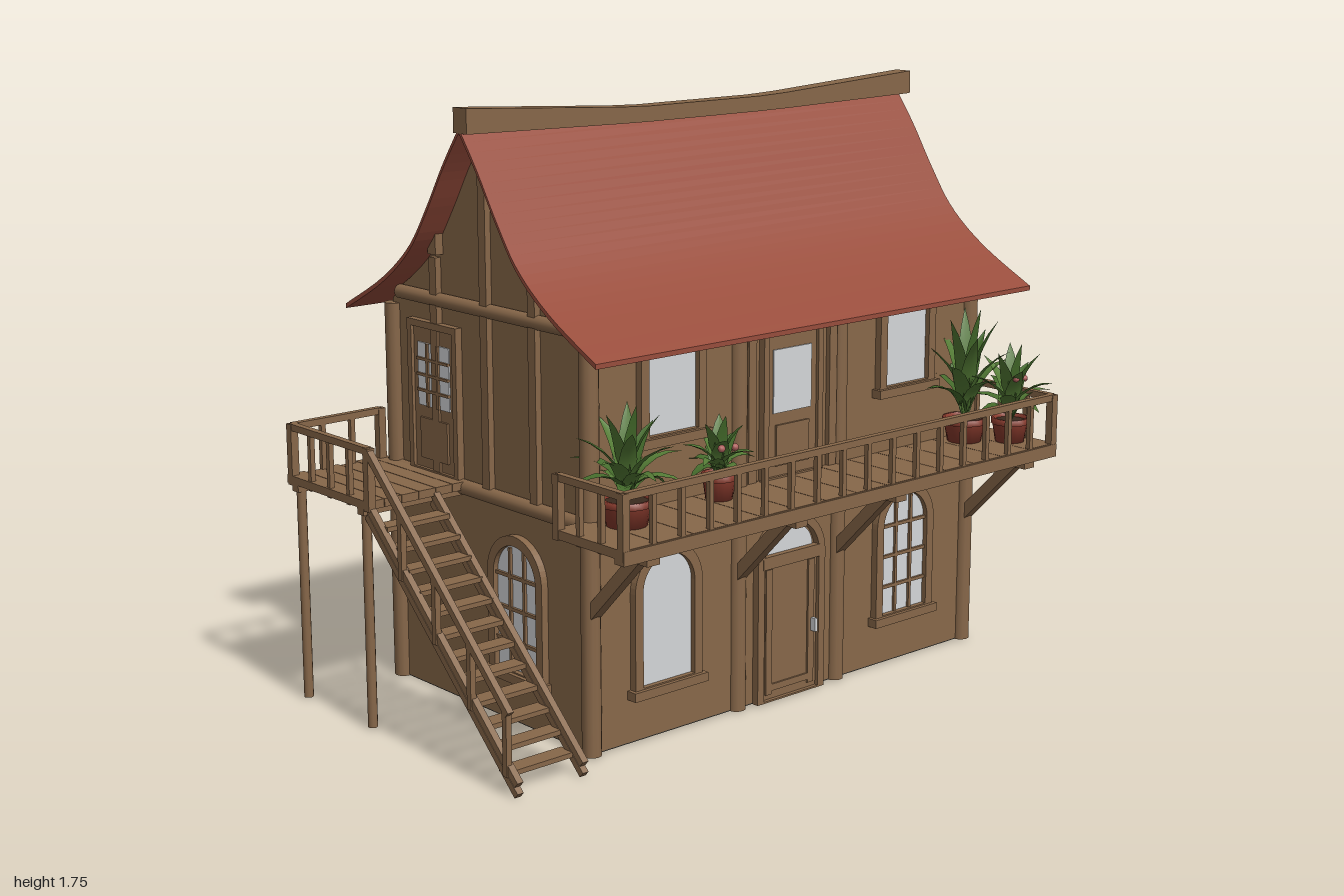
import * as THREE from 'three';

const mat = (name, color, side = THREE.FrontSide) => {
  const m = new THREE.MeshStandardMaterial({ color, side });
  m.name = name;
  return m;
};

export function createModel() {
  const M = {
    wall: mat('plaster brown', 0x886849), timber: mat('timber brown', 0x876749),
    roof: mat('roof red', 0x984d3c, THREE.DoubleSide), glass: mat('glass grey', 0xd4d6d9),
    floor: mat('floor dark grey', 0x423e38), pot: mat('terracotta', 0x8c3c2e), soil: mat('soil', 0x3a2a1e),
    leaf: mat('leaf green', 0x557d36, THREE.DoubleSide),
    leafDark: mat('dark leaf green', 0x446b2b, THREE.DoubleSide), flower: mat('flower pink', 0xb0605c),
  };
  const root = new THREE.Group();
  root.name = 'balconyHouse';
  const V = (x, y, z) => new THREE.Vector3(x, y, z);
  const group = (name, parent = root) => {
    const g = new THREE.Group();
    g.name = name;
    parent.add(g);
    return g;
  };
  const add = (parent, name, geo, material, x = 0, y = 0, z = 0) => {
    const m = new THREE.Mesh(geo, material);
    m.name = name;
    m.position.set(x, y, z);
    parent.add(m);
    return m;
  };
  // Box given by its minimum and maximum corners
  const box = (p, name, a, b, material = M.timber) => add(p, name,
    new THREE.BoxGeometry(b[0] - a[0], b[1] - a[1], b[2] - a[2]), material,
    (a[0] + b[0]) / 2, (a[1] + b[1]) / 2, (a[2] + b[2]) / 2);
  // Square or round bar between two points
  const bar = (p, name, a, b, t, round = false) => {
    const A = V(...a), B = V(...b), len = A.distanceTo(B);
    const geo = round ? new THREE.CylinderGeometry(t / 2, t / 2, len, 12) : new THREE.BoxGeometry(t, t, len);
    if (round) geo.rotateX(Math.PI / 2);
    const m = add(p, name, geo, M.timber);
    m.position.copy(A).lerp(B, 0.5);
    m.lookAt(B);
    return m;
  };
  // Extrude a z-y outline along x
  const alongX = (shape, x0, x1) => new THREE.ExtrudeGeometry(shape, { depth: x1 - x0, bevelEnabled: false })
    .rotateY(-Math.PI / 2).translate(x1, 0, 0);

  // Roof curve: distance from the ridge, height
  const RIDGE = -0.083;
  const slope = new THREE.SplineCurve([[0, 1.69], [0.08, 1.58], [0.16, 1.455], [0.25, 1.335], [0.385, 1.23], [0.572, 1.13]]
    .map(p => new THREE.Vector2(...p))).getPoints(24);
  const mirrored = (pts, drop) => [
    ...pts.map(p => new THREE.Vector2(RIDGE + p.x, p.y - drop)).reverse(),
    ...pts.slice(1).map(p => new THREE.Vector2(RIDGE - p.x, p.y - drop))];

  // Walls with gables, on a dark floor slab
  const inner = slope.filter(p => p.x < 0.43);
  const wallShape = new THREE.Shape([new THREE.Vector2(-0.545, 0.004), new THREE.Vector2(0.355, 0.004),
    new THREE.Vector2(0.355, 1.17), ...mirrored(inner, 0.016), new THREE.Vector2(-0.545, 1.15)]);
  add(root, 'walls', alongX(wallShape, -0.65, 0.855), M.wall);
  box(root, 'floor', [-0.648, 0, -0.543], [0.853, 0.008, 0.353], M.floor);

  // Roof and its ridge beam with upturned ends
  const roof = group('roof');
  add(roof, 'roofSlopes', alongX(new THREE.Shape([...mirrored(slope, 0), ...mirrored(slope, 0.014).reverse()]), -0.74, 0.975), M.roof);
  const ridge = new THREE.BoxGeometry(1.74, 0.045, 0.06, 16, 1, 1);
  const rp = ridge.attributes.position;
  for (let i = 0; i < rp.count; i++) {
    const lift = Math.max(0, Math.abs(rp.getX(i) / 0.87) - 0.3) / 0.7;
    rp.setY(i, rp.getY(i) + lift * (rp.getY(i) > 0 ? 0.037 : 0.012));
  }
  ridge.computeVertexNormals();
  add(roof, 'ridgeBeam', ridge, M.timber, 0.13, 1.6855, -0.077);
  for (const x of [-0.66, 0.86]) box(roof, 'roofPeg', [x - 0.016, 1.31, -0.33], [x + 0.016, 1.385, -0.292]);

  // Timber frame
  const frame = group('timberFrame');
  const columns = [-0.65, -0.11, 0.29, 0.855];
  for (const x of columns) {
    bar(frame, 'frontPost', [x, 0, 0.35], [x, 1.15, 0.35], 0.056, true);
    bar(frame, 'backPost', [x, 0, -0.54], [x, 1.14, -0.54], 0.056, true);
    bar(frame, 'balconyBrace', [x, 0.41, 0.36], [x, 0.625, 0.57], 0.035);
    box(frame, 'balconyJoist', [x - 0.022, 0.6, 0.36], [x + 0.022, 0.638, 0.61]);
  }
  for (const x of [-0.07, 0.25]) box(frame, 'frontStud', [x - 0.015, 0.67, 0.35], [x + 0.015, 1.15, 0.37]);
  bar(frame, 'backBelt', [-0.67, 0.65, -0.55], [0.88, 0.65, -0.55], 0.05, true);
  bar(frame, 'frontPlate', [-0.67, 1.15, 0.345], [0.88, 1.15, 0.345], 0.04, true);
  for (const x of [-0.655, 0.86]) {
    bar(frame, 'sideBelt', [x, 0.65, -0.57], [x, 0.65, 0.37], 0.045, true);
    bar(frame, 'gableBeam', [x, 1.178, -0.5], [x, 1.178, 0.335], 0.042, true);
    for (const [z, top] of [[-0.32, 1.3], [-0.085, 1.64], [0.13, 1.34]])
      box(frame, 'gableStud', [x - 0.014, 0.67, z - 0.016], [x + 0.014, top, z + 0.016]);
  }

  // Outline of an arched or square opening, standing on y = 0
  const outline = (w, h, arched, Kind = THREE.Shape, y0 = 0) => {
    const s = new Kind(), r = w / 2;
    s.moveTo(-r, y0);
    s.lineTo(r, y0);
    if (arched) { s.lineTo(r, h - r); s.absarc(0, h - r, r, 0, Math.PI, false); } else { s.lineTo(r, h); s.lineTo(-r, h); }
    s.lineTo(-r, y0);
    return s;
  };
  const surround = (w, h, t, arched, y0) => {
    const s = outline(w + 2 * t, h + t, arched);
    s.holes.push(outline(w, h, arched, THREE.Path, y0));
    return new THREE.ExtrudeGeometry(s, { depth: 0.022, bevelEnabled: false, curveSegments: 12 });
  };
  const place = (name, x, y, z, turn) => {
    const g = group(name);
    g.position.set(x, y, z);
    g.rotation.y = turn;
    return g;
  };
  const windowAt = (x, y, z, turn, { w = 0.19, h = 0.38, arched = true, panes = true } = {}) => {
    const g = place('window', x, y, z, turn);
    add(g, 'glass', new THREE.ExtrudeGeometry(outline(w, h, arched), { depth: 0.006, bevelEnabled: false }), M.glass);
    add(g, 'windowFrame', surround(w, h, 0.029, arched, 0.01), M.timber);
    box(g, 'sill', [-w / 2 - 0.04, -0.02, 0], [w / 2 + 0.04, 0.006, 0.034]);
    if (!panes) return;
    for (const s of [-1, 1]) box(g, 'mullion', [s * w / 6 - 0.005, 0, 0], [s * w / 6 + 0.005, h - 0.012, 0.014]);
    for (let i = 1; i < 4; i++) box(g, 'glazingBar', [-w / 2, i * 0.095 - 0.005, 0], [w / 2, i * 0.095 + 0.005, 0.014]);
  };
  windowAt(-0.39, 0.15, 0.355, 0, { panes: false });
  windowAt(0.565, 0.15, 0.355, 0);
  for (const x of [-0.37, 0.56]) windowAt(x, 0.86, 0.355, 0, { w: 0.18, h: 0.27, arched: false, panes: false });
  for (const x of [-0.41, 0.55]) windowAt(x, 0.15, -0.545, Math.PI);
  windowAt(0.855, 0.15, 0.04, Math.PI / 2);
  windowAt(-0.65, 0.15, 0.04, -Math.PI / 2);

  // Arched entrance door with fanlight
  const door = place('entranceDoor', 0.085, 0, 0.355, 0);
  add(door, 'doorFrame', surround(0.22, 0.53, 0.025, true, 0.005), M.timber);
  box(door, 'doorLeaf', [-0.11, 0, 0], [0.11, 0.41, 0.01]);
  box(door, 'transom', [-0.115, 0.405, 0], [0.115, 0.442, 0.024]);
  add(door, 'fanlight', new THREE.CircleGeometry(0.097, 20, 0, Math.PI).scale(1, 0.8, 1), M.glass, 0, 0.442, 0.005);
  for (const s of [-1, 1]) box(door, 'doorStile', [s * 0.085 - 0.012, 0.02, 0], [s * 0.085 + 0.012, 0.4, 0.016]);
  box(door, 'doorRail', [-0.09, 0.03, 0], [0.09, 0.05, 0.016]);
  box(door, 'doorHandle', [0.084, 0.18, 0.01], [0.094, 0.22, 0.034], M.glass);

  // Upper doors to the balcony and the landing
  const upperDoor = (x, z, turn, panes) => {
    const g = place('upperDoor', x, 0.67, z, turn);
    add(g, 'doorFrame', surround(0.195, 0.42, 0.02, false, 0.005), M.timber);
    box(g, 'doorLeaf', [-0.0975, 0, 0], [0.0975, 0.42, 0.012]);
    box(g, 'doorGlass', [-0.075, 0.19, 0.01], [0.075, 0.375, 0.016], M.glass);
    box(g, 'doorPanel', [-0.065, 0.035, 0.01], [0.065, 0.155, 0.019]);
    if (panes) for (let i = 0; i < 3; i++) {
      if (i < 2) box(g, 'mullion', [-0.03 + i * 0.05, 0.19, 0.01], [-0.02 + i * 0.05, 0.375, 0.022]);
      box(g, 'glazingBar', [-0.075, 0.232 + i * 0.046, 0.01], [0.075, 0.24 + i * 0.046, 0.022]);
    }
  };
  upperDoor(0.085, 0.355, 0, false);
  upperDoor(-0.65, -0.33, -Math.PI / 2, true);

  // Railing with top rail and balusters
  const railing = (parent, x0, z0, x1, z1, n) => {
    const g = group('railing', parent);
    bar(g, 'topRail', [x0, 0.812, z0], [x1, 0.812, z1], 0.02);
    for (let i = 0; i <= n; i++) {
      const x = x0 + (x1 - x0) * i / n, z = z0 + (z1 - z0) * i / n, t = i % n ? 0.015 : 0.024;
      bar(g, 'baluster', [x, 0.64, z], [x, 0.82, z], t);
    }
  };

  // Balcony along the front and a narrow ledge on the left side
  const balcony = group('balcony');
  const planks = 14, pw = 1.72 / planks;
  for (let i = 0; i < planks; i++)
    box(balcony, 'deckPlank', [-0.775 + i * pw, 0.643, 0.35], [-0.777 + (i + 1) * pw, 0.669, 0.632]);
  box(balcony, 'deckEdge', [-0.775, 0.628, 0.6], [0.945, 0.667, 0.638]);
  box(balcony, 'sideLedge', [0.85, 0.635, -0.58], [0.945, 0.668, 0.36]);
  railing(balcony, -0.765, 0.625, 0.933, 0.625, 17);
  railing(balcony, -0.765, 0.36, -0.765, 0.625, 3);
  railing(balcony, 0.933, -0.575, 0.933, 0.625, 12);

  // Landing on posts
  const landing = group('landing');
  for (let i = 0; i < 6; i++)
    box(landing, 'landingPlank', [-0.995 + i * 0.058, 0.645, -0.6 + (i % 2) * 0.012], [-0.939 + i * 0.058, 0.669, -0.195]);
  for (const z of [-0.56, -0.23]) {
    box(landing, 'landingJoist', [-0.995, 0.625, z - 0.015], [-0.65, 0.646, z + 0.015]);
    bar(landing, 'landingPost', [-0.975, 0, z], [-0.975, 0.64, z], 0.028, true);
  }
  railing(landing, -0.983, -0.585, -0.983, -0.2, 4);
  railing(landing, -0.983, -0.585, -0.68, -0.585, 3);

  // Stairs with an outer handrail
  const stairs = group('stairs');
  const steps = 12;
  for (let i = 1; i <= steps; i++) {
    const y = 0.65 * (1 - i / (steps + 1)), z = -0.205 + 0.64 * i / (steps + 1);
    box(stairs, 'tread', [-0.975, y - 0.007, z - 0.027], [-0.765, y + 0.007, z + 0.027]);
  }
  for (const x of [-0.98, -0.76]) for (const d of [-0.015, 0.015])
    bar(stairs, 'stringer', [x, 0.64 + d, -0.21], [x, 0.018 + d, 0.45], 0.02);
  bar(stairs, 'handrail', [-0.985, 0.812, -0.2], [-0.985, 0.22, 0.42], 0.02);
  for (let i = 1; i <= 4; i++) {
    const z = -0.2 + i * 0.152, y = 0.64 - (z + 0.21) * 0.945;
    bar(stairs, 'handrailPost', [-0.985, y - 0.01, z], [-0.985, 0.812 - (z + 0.2) * 0.955, z], 0.018);
  }

  // Potted plants with arching leaves
  const leafGeo = (len, width, droop) => {
    const g = new THREE.PlaneGeometry(1, 1, 2, 6), p = g.attributes.position;
    for (let i = 0; i < p.count; i++) {
      const t = p.getY(i) + 0.5, s = p.getX(i) * 2;
      const half = width * (0.12 + Math.sin(Math.PI * Math.pow(t, 0.8))) * 0.5 * (t > 0.99 ? 0 : 1);
      const a = droop * t;
      p.setXYZ(i, s * half, len * t * Math.cos(a) + Math.abs(s) * half * 0.35, len * t * Math.sin(a));
    }
    g.computeVertexNormals();
    return g;
  };
  const plant = (x, z, r, height, spread, count, flowers) => {
    const g = group('pottedPlant');
    g.position.set(x, 0.667, z);
    const pot = [[0, 0], [r * 0.75, 0], [r * 0.92, 0.058], [r, 0.058], [r, 0.076], [r * 0.85, 0.076], [r * 0.83, 0.064]];
    add(g, 'pot', new THREE.LatheGeometry(pot.map(q => new THREE.Vector2(...q)), 16), M.pot);
    add(g, 'soil', new THREE.CircleGeometry(r * 0.86, 16).rotateX(-Math.PI / 2), M.soil, 0, 0.066, 0);
    for (let i = 0; i < count; i++) {
      const k = i / (count - 1), len = height * (1 - 0.45 * k);
      const m = add(g, 'leaf', leafGeo(len, 0.045, 0.15 + spread * k), i % 3 ? M.leaf : M.leafDark, 0, 0.06, 0);
      m.rotation.y = i * 2.4;
    }
    for (let i = 0; i < flowers; i++) add(g, 'flower', new THREE.SphereGeometry(0.011, 8, 6), M.flower,
      0.06 * Math.cos(i * 2.2), height * 0.75 + 0.02 * i, 0.06 * Math.sin(i * 2.2));
  };
  plant(-0.605, 0.45, 0.074, 0.28, 1.3, 20, 0);
  plant(-0.245, 0.42, 0.05, 0.185, 1.4, 16, 3);
  plant(0.765, 0.425, 0.068, 0.36, 0.75, 16, 0);
  plant(0.865, 0.52, 0.058, 0.25, 1.2, 16, 2);
  return root;
}
